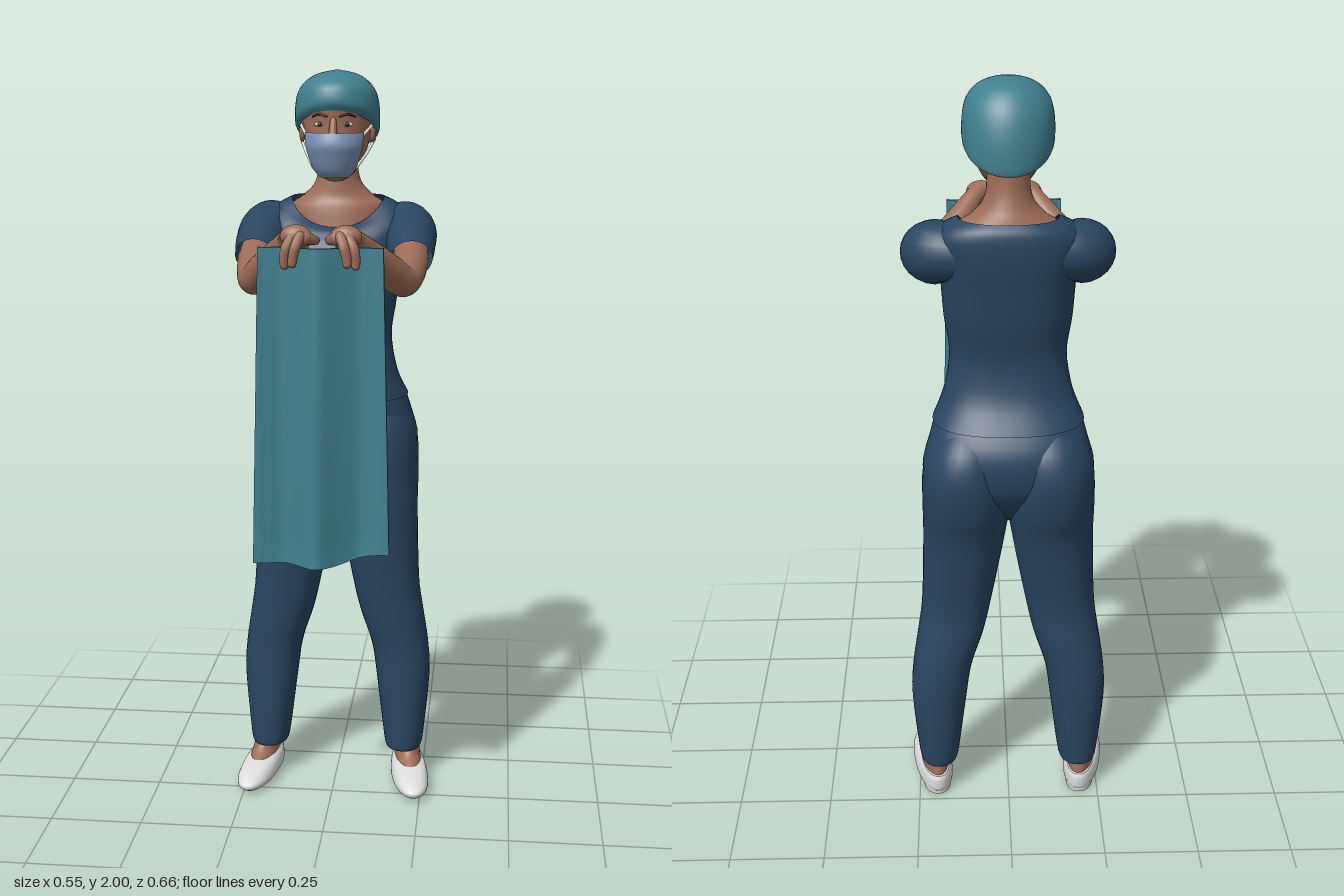
import * as THREE from 'three';
import { mergeGeometries } from 'three/addons/utils/BufferGeometryUtils.js';

const mat = (name, color, side = THREE.FrontSide) => {
  const m = new THREE.MeshStandardMaterial({ color, side });
  m.name = name;
  return m;
};

// Horizontal cross-sections [y, centreX, halfWidth, zBack, zFront, tilt, frontDip], splined upward
function loft(rings, { n = 32, sub = 4, power = 1, arc = null, caps = true } = {}) {
  const rows = [];
  const val = (i, k) => rings[Math.min(Math.max(i, 0), rings.length - 1)][k] ?? 0;
  for (let i = 0; i < rings.length - 1; i++)
    for (let s = 0; s < sub + (i === rings.length - 2 ? 1 : 0); s++) {
      const t = s / sub;
      rows.push([0, 1, 2, 3, 4, 5, 6].map((k) => {
        const a = val(i, k), b = val(i + 1, k);
        const m0 = (b - val(i - 1, k)) / 2, m1 = (val(i + 2, k) - a) / 2;
        const t2 = t * t, t3 = t2 * t;
        return (2 * t3 - 3 * t2 + 1) * a + (t3 - 2 * t2 + t) * m0 + (3 * t2 - 2 * t3) * b + (t3 - t2) * m1;
      }));
    }
  const cols = arc ? n + 1 : n;
  const pos = [], idx = [];
  const bend = (v) => Math.sign(v) * Math.abs(v) ** power;
  for (const [y, cx, hw, z0, z1, tilt, dip] of rows)
    for (let j = 0; j < cols; j++) {
      const a = arc ? Math.PI / 2 + arc * (2 * j / n - 1) : (j / n) * Math.PI * 2;
      const dz = bend(Math.sin(a)) * (z1 - z0) / 2;
      pos.push(cx + hw * bend(Math.cos(a)), y + tilt * dz - dip * Math.max(0, Math.sin(a)) ** 1.5, (z0 + z1) / 2 + dz);
    }
  for (let i = 0; i < rows.length - 1; i++)
    for (let j = 0; j < n; j++) {
      const k = arc ? j + 1 : (j + 1) % n;
      const a = i * cols + j, b = i * cols + k;
      idx.push(a, a + cols, b, b, a + cols, b + cols);
    }
  if (caps && !arc)
    for (const i of [0, rows.length - 1]) {
      const base = pos.length / 3, r = rows[i];
      for (let j = 0; j < n; j++) pos.push(...pos.slice((i * n + j) * 3, (i * n + j) * 3 + 3));
      pos.push(r[1], r[0] - r[6] * 0.4, (r[3] + r[4]) / 2);
      for (let j = 0; j < n; j++) {
        const a = base + j, b = base + (j + 1) % n;
        if (i) idx.push(base + n, b, a); else idx.push(base + n, a, b);
      }
    }
  const g = new THREE.BufferGeometry();
  g.setAttribute('position', new THREE.Float32BufferAttribute(pos, 3));
  g.setIndex(idx);
  g.computeVertexNormals();
  return g;
}

// Tapered round tube through points [x, y, z, radius], with rounded ends
function limb(points, { seg = 24, sides = 16, round = true } = {}) {
  const curve = new THREE.CatmullRomCurve3(points.map((p) => new THREE.Vector3(p[0], p[1], p[2])));
  const g = new THREE.TubeGeometry(curve, seg, 1, sides);
  const p = g.attributes.position, v = new THREE.Vector3();
  for (let i = 0; i <= seg; i++) {
    const c = curve.getPointAt(i / seg);
    const t = curve.getUtoTmapping(i / seg) * (points.length - 1);
    const k = Math.min(Math.floor(t), points.length - 2);
    const r = THREE.MathUtils.lerp(points[k][3], points[k + 1][3], t - k);
    for (let j = 0; j <= sides; j++) {
      const q = i * (sides + 1) + j;
      v.fromBufferAttribute(p, q).sub(c).multiplyScalar(r).add(c);
      p.setXYZ(q, v.x, v.y, v.z);
    }
  }
  if (!round) return g;
  const ends = [points[0], points[points.length - 1]].map((e) =>
    new THREE.SphereGeometry(e[3], sides, 10).translate(e[0], e[1], e[2]));
  return mergeGeometries([g, ...ends]);
}

const blob = (x, y, z, rx, ry, rz) => new THREE.SphereGeometry(1, 20, 14).scale(rx, ry, rz).translate(x, y, z);

export function createModel() {
  const root = new THREE.Group();
  root.name = 'clinician';
  const navy = mat('navy scrubs', 0x2b4560, THREE.DoubleSide);
  const teal = mat('teal cloth', 0x417f8d, THREE.DoubleSide);
  const skin = mat('skin', 0x9c6c59);
  const blue = mat('mask blue', 0x7e92b4, THREE.DoubleSide);
  const white = mat('white', 0xdedede);
  const dark = mat('dark brown', 0x2c1d18);
  const add = (name, geo, m, parent = root) => {
    const mesh = new THREE.Mesh(geo, m);
    mesh.name = name;
    parent.add(mesh);
    return mesh;
  };

  // Shirt with flared hem and scooped neckline
  add('shirt', loft([
    [1.13, 0, 0.195, -0.3, -0.016], [1.2, 0, 0.166, -0.252, -0.018], [1.3, 0, 0.15, -0.235, -0.025],
    [1.4, 0, 0.163, -0.255, -0.004], [1.5, 0, 0.17, -0.27, -0.012], [1.57, 0, 0.18, -0.28, -0.03, 0, 0.02],
    [1.62, 0, 0.185, -0.282, -0.045, 0, 0.05], [1.65, 0, 0.16, -0.277, -0.06, 0, 0.065],
    [1.668, 0, 0.125, -0.262, -0.08, 0, 0.075]], { n: 48, power: 0.85, caps: false }), navy);

  // Trousers: pelvis, legs added below
  add('trouserPelvis', loft([
    [0.86, 0, 0.09, -0.22, -0.08], [0.93, 0, 0.195, -0.285, -0.035], [1, 0, 0.223, -0.318, -0.027],
    [1.08, 0, 0.205, -0.315, -0.027], [1.15, 0, 0.182, -0.27, -0.03], [1.2, 0, 0.15, -0.235, -0.035]],
    { n: 40, power: 0.85 }), navy);

  // Neck and head
  add('neck', loft([
    [1.56, 0, 0.11, -0.24, -0.075], [1.64, 0, 0.128, -0.255, -0.088], [1.67, 0, 0.095, -0.25, -0.1],
    [1.7, 0, 0.066, -0.238, -0.103], [1.74, 0, 0.054, -0.227, -0.105], [1.8, 0, 0.056, -0.222, -0.1]]), skin);
  add('head', loft([
    [1.715, 0, 0.02, -0.15, -0.06], [1.725, 0, 0.038, -0.165, -0.047], [1.75, 0, 0.06, -0.19, -0.036],
    [1.78, 0, 0.075, -0.215, -0.031], [1.82, 0, 0.086, -0.235, -0.03], [1.87, 0, 0.092, -0.25, -0.03],
    [1.92, 0, 0.094, -0.25, -0.027], [1.96, 0, 0.078, -0.225, -0.055]]), skin);
  add('nose', limb([[0, 1.875, -0.033, 0.008], [0, 1.845, -0.022, 0.011], [0, 1.82, -0.015, 0.013]]), skin);

  // Surgical cap, lower at the nape
  add('cap', loft([
    [1.843, 0, 0.099, -0.26, -0.026, 0.48], [1.855, 0, 0.112, -0.272, -0.016, 0.5],
    [1.9, 0, 0.112, -0.272, -0.02, 0.35], [1.94, 0, 0.104, -0.258, -0.03, 0.2],
    [1.97, 0, 0.083, -0.232, -0.052, 0.1], [1.99, 0, 0.05, -0.195, -0.088, 0.03],
    [2, 0, 0.003, -0.145, -0.138]], { n: 40, caps: false }), teal);

  // Face mask
  add('faceMask', loft([
    [1.725, 0, 0.045, -0.16, -0.038], [1.745, 0, 0.064, -0.18, -0.022], [1.78, 0, 0.08, -0.2, -0.008],
    [1.81, 0, 0.088, -0.21, 0.001], [1.842, 0, 0.091, -0.22, -0.008]], { n: 24, arc: 1.02 }), blue);

  // Hanging cloth with folds deepening downwards
  const cloth = new THREE.BoxGeometry(0.31, 1, 0.012, 60, 24, 1);
  const cp = cloth.attributes.position;
  const bump = (x, c, w) => Math.exp(-(((x - c) / w) ** 2));
  for (let i = 0; i < cp.count; i++) {
    const d = 0.5 - cp.getY(i), x = cp.getX(i) * (1 + 0.13 * d);
    const wave = 0.043 * bump(x, -0.01, 0.045) - 0.022 * bump(x, 0.1, 0.04) - 0.012 * bump(x, -0.1, 0.03);
    const hem = Math.abs(x) > 0.15 || d > 0.96 ? 1.4 : 1;
    const drop = 0.812 - 0.03 * THREE.MathUtils.smoothstep(x, 0.02, 0.17);
    cp.setXYZ(i, x, 1.582 - d * drop, 0.278 + wave * (0.5 + 0.5 * d) + cp.getZ(i) * hem);
  }
  cloth.computeVertexNormals();
  add('hangingCloth', cloth, teal);

  for (const s of [1, -1]) {
    const side = s > 0 ? 'left' : 'right';
    const m = (pts) => pts.map(([x, ...rest]) => [x * s, ...rest]);

    // Trouser leg: [y, inner, outer, back, front]
    add(side + 'TrouserLeg', loft([
      [0.095, 0.145, 0.243, -0.23, -0.075], [0.12, 0.138, 0.25, -0.237, -0.068], [0.3, 0.115, 0.266, -0.252, -0.07],
      [0.4, 0.1, 0.261, -0.254, -0.07], [0.5, 0.068, 0.246, -0.25, -0.063], [0.6, 0.045, 0.233, -0.246, -0.055],
      [0.8, 0.008, 0.226, -0.28, -0.032], [0.9, -0.004, 0.226, -0.315, -0.03], [1, 0.002, 0.222, -0.332, -0.03],
      [1.08, 0.012, 0.198, -0.31, -0.045], [1.14, 0.05, 0.15, -0.25, -0.1]]
      .map(([y, a, b, z0, z1]) => [y, s * (a + b) / 2, (b - a) / 2, z0, z1]), { power: 0.9 }), navy);

    // Foot and slip-on shoe, toes turned out
    const foot = new THREE.Group();
    foot.name = side + 'Foot';
    foot.position.set(s * 0.215, 0, -0.09);
    foot.rotation.y = s * 0.15;
    root.add(foot);
    add('ankle', loft([[0.03, 0, 0.04, -0.135, 0.08], [0.058, 0, 0.036, -0.135, 0.05],
      [0.085, 0, 0.034, -0.13, 0.005], [0.14, 0, 0.036, -0.125, -0.02]]), skin, foot);
    add('shoe', loft([[0.01, 0, 0.043, -0.138, 0.14], [0.018, 0, 0.051, -0.144, 0.15], [0.032, 0, 0.051, -0.146, 0.148],
      [0.05, 0, 0.046, -0.146, 0.105], [0.061, 0, 0.037, -0.142, 0.045]], { power: 0.9 }), white, foot);
    add('shoeHeel', loft([[0, 0, 0.036, -0.138, -0.04], [0.02, 0, 0.04, -0.14, -0.035]], { sub: 1 }), white, foot);

    // Sleeve and arm
    add(side + 'Sleeve', limb(m([[0.1, 1.575, -0.19, 0.06], [0.18, 1.575, -0.168, 0.081], [0.2, 1.55, -0.09, 0.068],
      [0.206, 1.518, -0.025, 0.056]]), { sides: 24, round: false }), navy);
    add(side + 'Arm', limb(m([[0.203, 1.545, -0.09, 0.046], [0.205, 1.51, -0.01, 0.047], [0.2, 1.48, 0.065, 0.041],
      [0.19, 1.478, 0.1, 0.041], [0.163, 1.507, 0.14, 0.042], [0.115, 1.56, 0.2, 0.034], [0.085, 1.594, 0.24, 0.026],
      [0.068, 1.608, 0.262, 0.027]]), { seg: 48, sides: 20 }), skin);

    // Hand: palm, thumb pointing back, fingers gripping the cloth
    const finger = (pts) => limb(m(pts), { seg: 12, sides: 10 });
    const hand = [blob(s * 0.062, 1.608, 0.268, 0.04, 0.029, 0.026),
      finger([[0.04, 1.605, 0.275, 0.018], [0.022, 1.598, 0.25, 0.013], [0.018, 1.592, 0.215, 0.01], [0.02, 1.59, 0.19, 0.008]]),
      finger([[0.05, 1.61, 0.285, 0.014], [0.06, 1.585, 0.3, 0.013], [0.066, 1.56, 0.301, 0.012], [0.068, 1.545, 0.3, 0.011]]),
      finger([[0.07, 1.61, 0.28, 0.014], [0.084, 1.58, 0.293, 0.013], [0.088, 1.555, 0.292, 0.012], [0.088, 1.54, 0.29, 0.011]])];
    for (let i = 0; i < 3; i++) {
      const x = 0.045 + i * 0.025;
      hand.push(finger([[x, 1.6, 0.258, 0.012], [x, 1.575, 0.242, 0.011], [x, 1.55, 0.246, 0.009]]));
    }
    add(side + 'Hand', mergeGeometries(hand), skin);

    // Ear, eye, eyebrow and mask straps
    add(side + 'Ear', blob(s * 0.094, 1.842, -0.145, 0.009, 0.03, 0.018), skin);
    add(side + 'EyeWhite', blob(s * 0.036, 1.863, -0.042, 0.015, 0.006, 0.008), white);
    add(side + 'Iris', blob(s * 0.036, 1.863, -0.036, 0.006, 0.006, 0.004), dark);
    add(side + 'Eyebrow', finger([[0.018, 1.884, -0.031, 0.003], [0.038, 1.889, -0.037, 0.003],
      [0.056, 1.882, -0.049, 0.002]]), dark);
    add(side + 'MaskStraps', mergeGeometries([
      finger([[0.075, 1.835, -0.065, 0.004], [0.092, 1.855, -0.11, 0.004], [0.1, 1.868, -0.145, 0.004]]),
      finger([[0.056, 1.75, -0.066, 0.004], [0.08, 1.785, -0.115, 0.004], [0.098, 1.82, -0.155, 0.004]])]), white);
  }
  return root;
}
